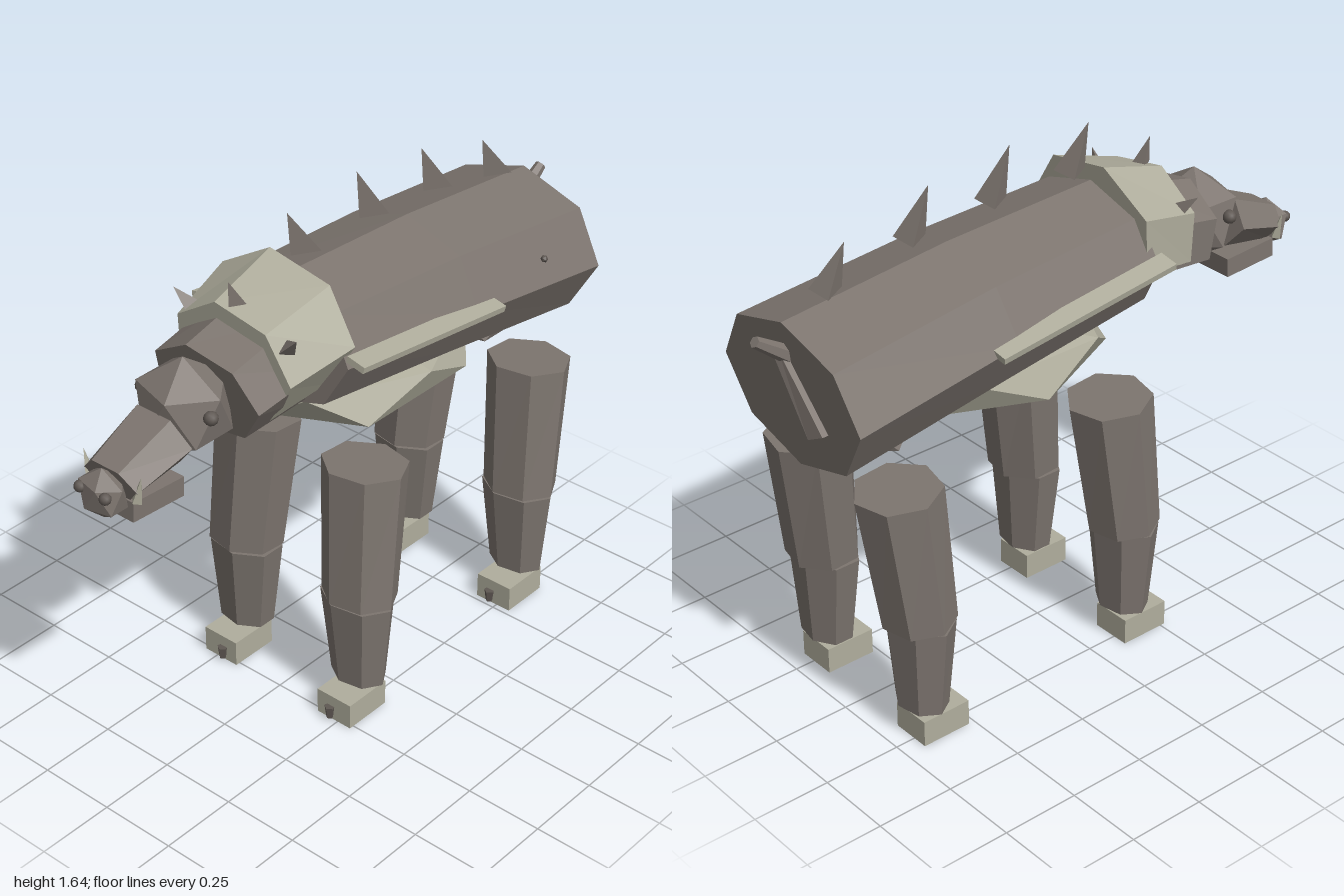
import * as THREE from 'three';

const hide = new THREE.MeshStandardMaterial({ color: 0x7d756f });
hide.name = 'hide';
const plate = new THREE.MeshStandardMaterial({ color: 0xb0ae9d });
plate.name = 'pale plate';
const dark = new THREE.MeshStandardMaterial({ color: 0x5f5853 });
dark.name = 'dark detail';

// Faceted copy of a geometry
function facet(geo) {
  const g = geo.index ? geo.toNonIndexed() : geo;
  g.computeVertexNormals();
  return g;
}

// Closed loft: each ring is [centre, u, v], points are centre + u cos + v sin
function loft(n, rings, start = 0) {
  const pos = [], idx = [];
  for (const [c, u, v] of rings) {
    for (let i = 0; i < n; i++) {
      const a = start + (i / n) * Math.PI * 2;
      for (let k = 0; k < 3; k++) pos.push(c[k] + u[k] * Math.cos(a) + v[k] * Math.sin(a));
    }
  }
  for (let r = 0; r < rings.length - 1; r++) {
    for (let i = 0; i < n; i++) {
      const j = (i + 1) % n, a = r * n, b = a + n;
      idx.push(a + i, a + j, b + j, a + i, b + j, b + i);
    }
  }
  const top = (rings.length - 1) * n;
  for (let i = 1; i < n - 1; i++) idx.push(0, i + 1, i, top, top + i, top + i + 1);
  const g = new THREE.BufferGeometry();
  g.setAttribute('position', new THREE.Float32BufferAttribute(pos, 3));
  g.setIndex(idx);
  return facet(g);
}

// Ring facing +z; lean moves its top forward
const ring = (y, z, rx, ry, lean = 0) => [[0, y, z], [rx, 0, 0], [0, ry, lean]];

// Icosahedron with one corner straight up
function lump(rx, ry, rz) {
  const g = new THREE.IcosahedronGeometry(1, 0);
  g.rotateZ(-Math.atan(2 / (1 + Math.sqrt(5))));
  g.scale(rx, ry, rz);
  return facet(g);
}

// Three-sided spike with its tip swept forward
function spike(r, h, sweep) {
  const g = new THREE.ConeGeometry(r, h, 3);
  g.translate(0, h / 2, 0);
  const p = g.attributes.position;
  for (let i = 0; i < p.count; i++) p.setZ(i, p.getZ(i) + (sweep * p.getY(i)) / h);
  return facet(g);
}

export function createModel() {
  const model = new THREE.Group();
  const add = (name, geo, mat, x = 0, y = 0, z = 0, parent = model) => {
    const m = new THREE.Mesh(geo, mat);
    m.name = name;
    m.position.set(x, y, z);
    parent.add(m);
    return m;
  };

  // Trunk, neck and pale collar
  add('body', loft(8, [
    ring(1.13, -0.88, 0.315, 0.23, -0.02),
    ring(1.2, -0.31, 0.292, 0.218, -0.02),
    ring(1.25, 0.24, 0.265, 0.195, -0.02),
  ]), hide);
  add('collar', loft(7, [
    ring(1.31, 0.21, 0.265, 0.2, -0.01),
    ring(1.26, 0.43, 0.222, 0.18, 0.01),
  ]), plate);
  add('neck', loft(7, [
    ring(1.25, 0.28, 0.21, 0.175, 0.01),
    ring(1.213, 0.535, 0.2, 0.146, 0.028),
  ]), hide);

  // Underside
  add('belly', lump(0.27, 0.115, 0.43), plate, 0, 1.0, -0.16);
  add('rearBelly', lump(0.18, 0.09, 0.15), hide, 0, 0.97, -0.64);

  // Head
  add('skull', lump(0.155, 0.152, 0.14), hide, 0, 1.21, 0.62);
  add('snout', loft(6, [
    ring(1.165, 0.72, 0.125, 0.085, 0.02),
    ring(1.105, 0.91, 0.102, 0.06, 0.02),
  ]), hide);
  const jaw = add('lowerJaw', new THREE.BoxGeometry(0.15, 0.062, 0.195), hide, 0, 1.022, 0.805);
  jaw.rotation.x = -0.06;
  add('nose', lump(0.085, 0.08, 0.06), hide, 0, 1.08, 0.94);

  // Dorsal spikes: z, base height, length
  for (const [z, y, h] of [[0.127, 1.49, 0.14], [-0.168, 1.49, 0.155], [-0.458, 1.465, 0.145], [-0.748, 1.4, 0.13]]) {
    add('dorsalSpike', spike(0.053, h, 0.066), hide, 0, y, z);
  }
  add('collarSpike', spike(0.03, 0.08, 0.03), hide, 0, 1.435, 0.405);

  // Tail stub and hanging tail
  const stub = add('tailStub', facet(new THREE.CylinderGeometry(0.017, 0.028, 0.14, 6)), hide, 0, 1.29, -0.93);
  stub.rotation.x = -0.95;
  add('tail', loft(5, [
    [[-0.12, 1.05, -0.88], [0.05, -0.025, 0], [0, 0, -0.025]],
    [[0.02, 1.27, -0.9], [0.018, -0.01, 0], [0, 0, -0.018]],
  ].map(([c, u, v]) => [c, u, v.map((k) => -k)]).reverse()), hide);
  add('sideSpot', new THREE.IcosahedronGeometry(0.012, 0), dark, 0.285, 1.245, -0.635);

  for (const s of [1, -1]) {
    // Face details
    add('eye', new THREE.IcosahedronGeometry(0.022, 1), dark, s * 0.13, 1.232, 0.65);
    add('nostril', new THREE.IcosahedronGeometry(0.018, 1), dark, s * 0.048, 1.1, 0.978);
    const tusk = add('tusk', facet(new THREE.ConeGeometry(0.018, 0.09, 4)), plate, s * 0.1, 1.115, 0.9);
    tusk.rotation.z = -s * 0.25;
    const horn = add('sideCollarSpike', spike(0.03, 0.08, 0.02), hide, s * 0.175, 1.35, 0.395);
    horn.rotation.z = -s * 0.8;

    // Flank strip
    const strip = add('flankStrip', facet(new THREE.BoxGeometry(0.065, 0.02, 0.645)), plate, s * 0.295, 1.24, -0.075);
    strip.rotation.set(-0.125, 0, -s * 0.2);

    // Legs
    for (const [name, dz] of [['frontLeg', 0], ['rearLeg', -0.785]]) {
      const leg = new THREE.Group();
      leg.name = name;
      leg.position.set(0, 0, dz);
      model.add(leg);
      const start = s > 0 ? 0 : Math.PI;
      add('upperLeg', loft(7, [
        [[s * 0.23, 0.408, 0.142], [0.122, 0, 0], [0, -0.008, -0.11]],
        [[s * 0.21, 0.848, 0.098], [0.135, 0, 0], [0, -0.012, -0.13]],
      ], start), hide, 0, 0, 0, leg);
      add('lowerLeg', loft(7, [
        [[s * 0.232, 0.112, 0.145], [0.094, 0, 0], [0, 0, -0.072]],
        [[s * 0.228, 0.405, 0.147], [0.127, 0, 0], [0, 0, -0.096]],
      ], start), hide, 0, 0, 0, leg);
      add('foot', new THREE.BoxGeometry(0.13, 0.085, 0.165), plate, s * 0.235, 0.046, 0.183, leg);
      add('claw', facet(new THREE.CylinderGeometry(0.018, 0.012, 0.04, 5)), dark, s * 0.223, 0.032, 0.27, leg);
    }
  }
  return model;
}
